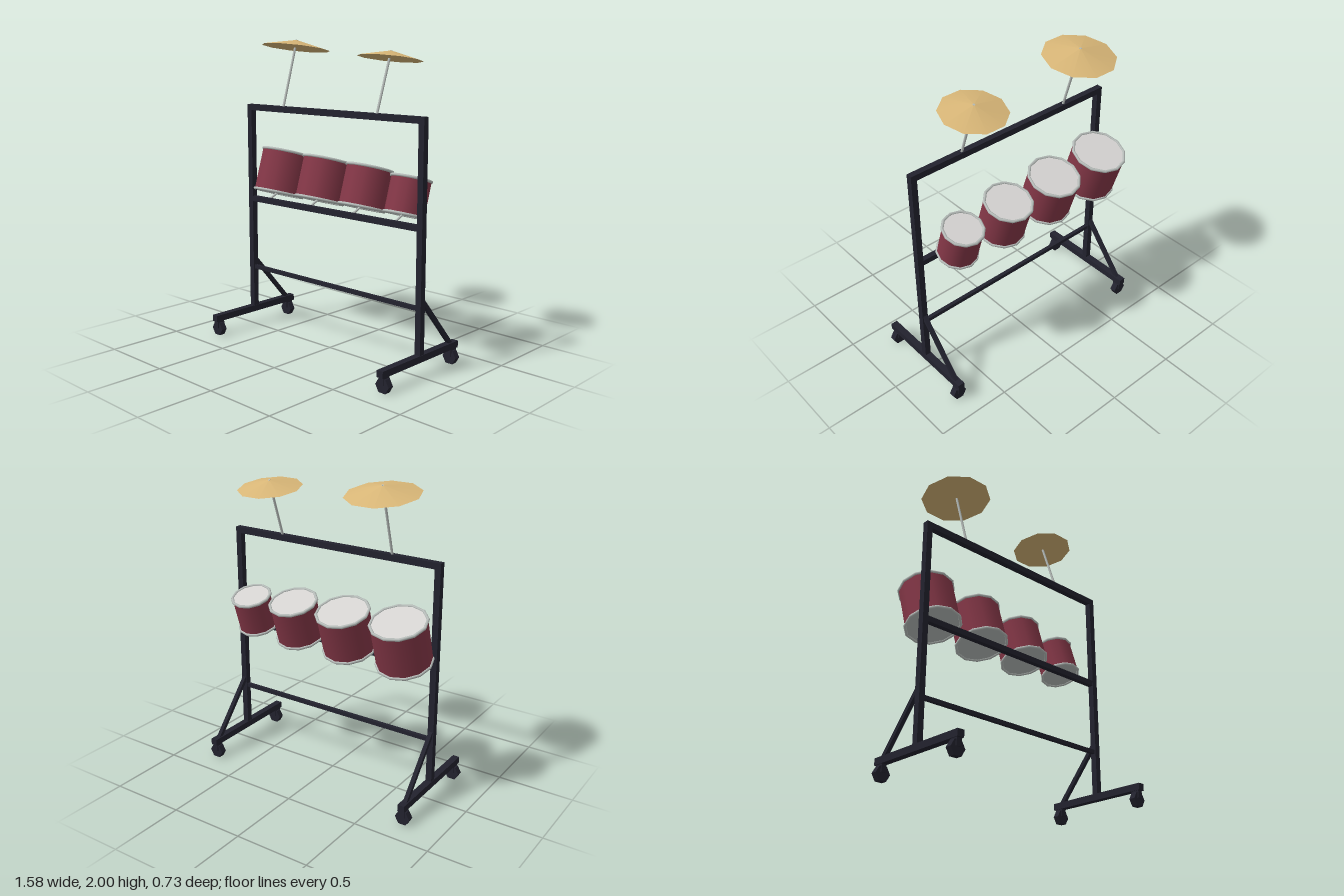
import * as THREE from 'three';

const mat = (name, color) => {
  const m = new THREE.MeshStandardMaterial({ color });
  m.name = name;
  return m;
};

export function createModel() {
  const root = new THREE.Group();
  root.name = 'drumRack';

  const frame = mat('dark frame', 0x22222e);
  const red = mat('red shell', 0x843747);
  const chrome = mat('chrome', 0xb8bebb);
  const skin = mat('drum skin', 0xd6d4d2);
  const brass = mat('brass', 0xd8b677);

  const add = (parent, name, geo, material, x = 0, y = 0, z = 0) => {
    const m = new THREE.Mesh(geo, material);
    m.name = name;
    m.position.set(x, y, z);
    parent.add(m);
    return m;
  };
  const box = (name, w, h, d, x, y, z) =>
    add(root, name, new THREE.BoxGeometry(w, h, d), frame, x, y, z);

  // Places a y-aligned geometry between two points
  const between = (name, a, b, makeGeo, material) => {
    const dir = b.clone().sub(a);
    const m = add(root, name, makeGeo(dir.length()), material);
    m.position.copy(a).add(b).multiplyScalar(0.5);
    m.quaternion.setFromUnitVectors(new THREE.Vector3(0, 1, 0), dir.normalize());
  };
  const rod = (name, a, b, r) =>
    between(name, a, b, (l) => new THREE.CylinderGeometry(r, r, l, 8), chrome);
  const v = (x, y, z) => new THREE.Vector3(x, y, z);

  // Cross bars
  box('topBar', 1.52, 0.04, 0.04, 0, 1.546, 0);
  box('drumBar', 1.46, 0.036, 0.036, 0, 0.912, 0);
  box('lowerBar', 1.46, 0.025, 0.025, 0, 0.423, 0);

  // Six-sided caster wheel with a point to each side
  const wheel = new THREE.CylinderGeometry(0.05, 0.05, 0.04, 6)
    .rotateY(Math.PI / 6).rotateX(Math.PI / 2).toNonIndexed();
  wheel.computeVertexNormals();

  // Posts, feet, braces and casters
  for (const s of [-1, 1]) {
    const x = s * 0.74;
    box('post', 0.04, 1.43, 0.04, x, 0.835, 0);
    box('foot', 0.045, 0.043, 0.73, x, 0.119, 0);
    between('brace', v(x, 0.49, 0), v(x, 0.13, -0.31),
      (l) => new THREE.BoxGeometry(0.026, l, 0.026), frame);
    for (const z of [-0.325, 0.325]) {
      box('casterFork', 0.034, 0.05, 0.055, x, 0.074, z);
      add(root, 'casterWheel', wheel, frame, x, 0.0433, z);
    }
  }

  // Drums: x, outer radius, height
  const drums = [
    [-0.588, 0.182, 0.305],
    [-0.195, 0.175, 0.29],
    [0.18, 0.161, 0.275],
    [0.525, 0.136, 0.245],
  ];
  for (const [x, r, h] of drums) {
    const drum = new THREE.Group();
    drum.name = 'drum';
    drum.position.set(x, 0.943, -0.1);
    drum.rotation.x = -0.3;
    root.add(drum);
    const t = 0.01;
    add(drum, 'drumShell', new THREE.CylinderGeometry(r - t, r - t, h - 0.016, 12),
      [red, skin, chrome], 0, h / 2, 0);
    const rim = new THREE.TorusGeometry(r - t, t, 6, 12).rotateX(Math.PI / 2).rotateY(Math.PI / 2);
    for (const y of [t, h - t]) add(drum, 'drumRim', rim, chrome, 0, y, 0);
    rod('drumMount', v(x, 0.912, 0), v(x, 0.96, -0.1), 0.008);
  }

  // Cymbals on leaning stands: x, radius, apex height, cone height
  for (const [x, r, y, h] of [[-0.427, 0.23, 1.998, 0.053], [0.385, 0.204, 1.936, 0.048]]) {
    const geo = new THREE.ConeGeometry(r, h, 10).rotateY(Math.PI / 10).translate(0, -h / 2, 0);
    add(root, 'cymbal', geo, brass, x, y, -0.13).rotation.x = -0.15;
    rod('cymbalStand', v(x, 1.55, 0), v(x, y, -0.13), 0.008);
  }

  return root;
}
